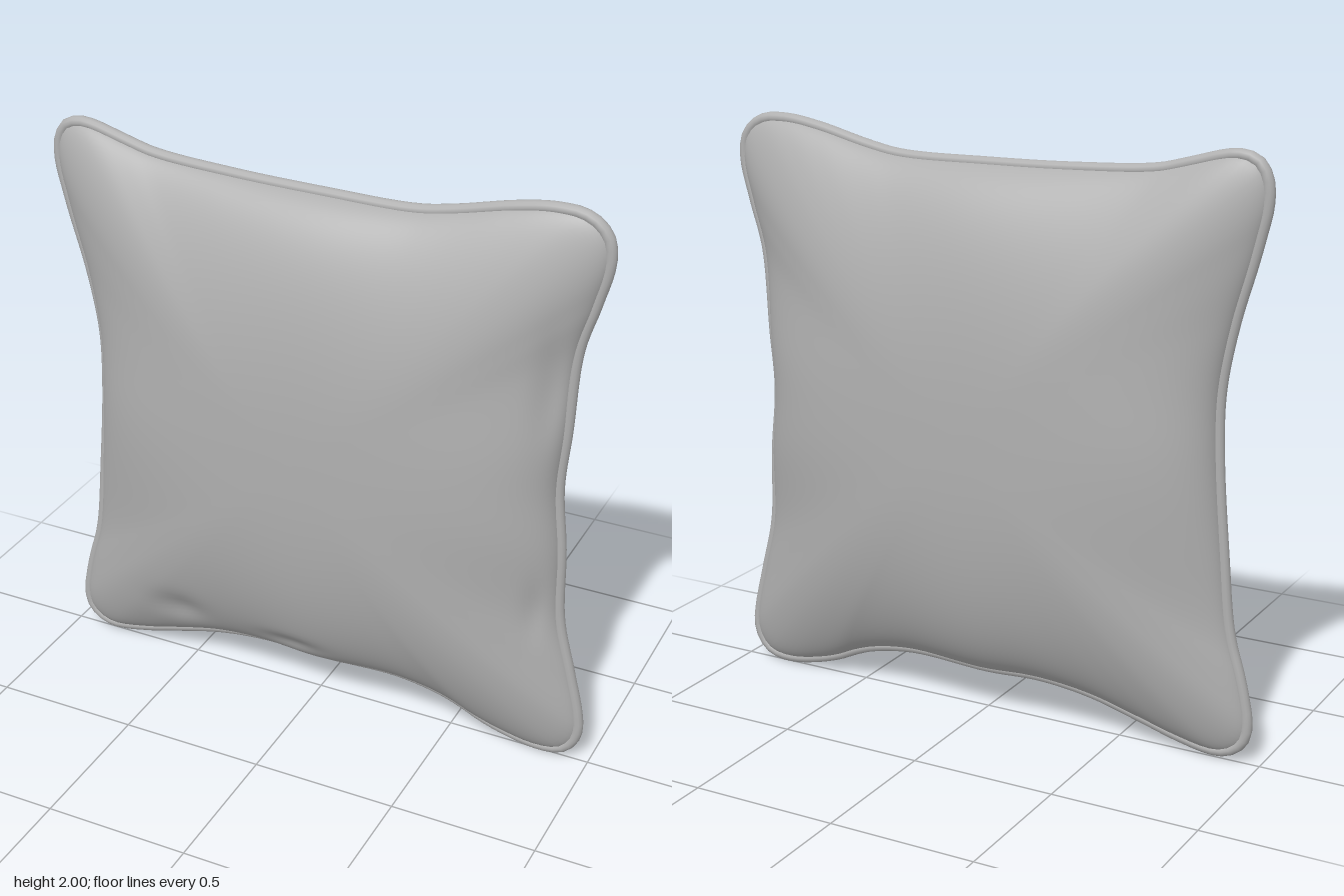
import * as THREE from 'three';

const PIPE = 0.02, HALF = 0.246, CY = 1.02;
const SEG = 240, RINGS = 40;

// outer outline of the piping, clockwise from the upper left corner
const OUTLINE = [
  [-0.865, 2.0], [-0.73, 1.972], [-0.6, 1.938], [-0.31, 1.917], [0, 1.91], [0.325, 1.912],
  [0.46, 1.936], [0.64, 1.98], [0.775, 2.0], [0.88, 1.99], [0.95, 1.936], [0.97, 1.846],
  [0.935, 1.69], [0.89, 1.53], [0.87, 1.236], [0.855, 1.034], [0.875, 0.81], [0.886, 0.546],
  [0.93, 0.36], [0.972, 0.175], [0.97, 0.095], [0.923, 0.026], [0.83, 0.003], [0.64, 0.04],
  [0.484, 0.106], [0.3, 0.14], [0, 0.13], [-0.2, 0.138], [-0.39, 0.117], [-0.57, 0.07],
  [-0.73, 0.026], [-0.865, 0.01], [-0.945, 0.053], [-0.97, 0.12], [-0.945, 0.28], [-0.9, 0.44],
  [-0.87, 0.705], [-0.843, 1.034], [-0.843, 1.236], [-0.88, 1.45], [-0.945, 1.69], [-0.978, 1.87],
  [-0.945, 1.97],
];

// small fabric folds on the front: x, y, radius x, radius y, depth
const FOLDS = [
  [-0.5, 0.26, 0.09, 0.06, 0.022], [-0.06, 0.24, 0.1, 0.035, 0.018],
  [0.81, 1.4, 0.04, 0.16, 0.02], [0.8, 0.6, 0.03, 0.1, 0.012],
];

// seam line: the outline moved inwards by the piping radius
function seamCurve() {
  const outer = new THREE.CatmullRomCurve3(
    OUTLINE.map(([x, y]) => new THREE.Vector3(x, y, 0)), true);
  const pts = [];
  for (let i = 0; i < 120; i++) {
    const p = outer.getPointAt(i / 120), t = outer.getTangentAt(i / 120);
    pts.push(new THREE.Vector3(p.x + t.y * PIPE, p.y - t.x * PIPE, 0));
  }
  return new THREE.CatmullRomCurve3(pts, true);
}

// one puffed half of the cushion, made of rings growing from the middle to the seam
function puffedSide(seam, side) {
  const pos = [0, CY, side * HALF], index = [];
  for (let i = 1; i <= RINGS; i++) {
    const s = Math.sin((i / RINGS) * Math.PI / 2);
    for (let j = 0; j < SEG; j++) {
      const bx = seam[j].x, by = seam[j].y - CY;
      const a = Math.atan2(by, bx), c = Math.cos(a), n = Math.sin(a);
      // inner rings ease from the seam shape to a soft rounded square
      const r = Math.pow(Math.abs(c / 0.83) ** 3 + Math.abs(n / 0.87) ** 3, -1 / 3);
      const w = s * s;
      const x = s * (bx * w + r * c * (1 - w));
      const y = CY + s * (by * w + r * n * (1 - w));
      const corner = 1 - 0.4 * Math.sin(2 * a) ** 2 * s ** 4;
      let z = HALF * Math.sqrt(Math.max(0, 1 - s ** 2.5)) * corner;
      if (side > 0) {
        for (const [fx, fy, rx, ry, d] of FOLDS) {
          z -= d * Math.exp(-(((x - fx) / rx) ** 2) - ((y - fy) / ry) ** 2);
        }
      }
      pos.push(x, y, side * Math.max(0, z));
    }
  }
  const at = (i, j) => 1 + (i - 1) * SEG + (j % SEG);
  const face = (a, b, c) => (side > 0 ? index.push(a, c, b) : index.push(a, b, c));
  for (let j = 0; j < SEG; j++) {
    face(0, at(1, j), at(1, j + 1));
    for (let i = 1; i < RINGS; i++) {
      face(at(i, j), at(i + 1, j), at(i + 1, j + 1));
      face(at(i, j), at(i + 1, j + 1), at(i, j + 1));
    }
  }
  const g = new THREE.BufferGeometry();
  g.setAttribute('position', new THREE.Float32BufferAttribute(pos, 3));
  g.setIndex(index);
  g.computeVertexNormals();
  return g;
}

export function createModel() {
  const group = new THREE.Group();
  group.name = 'cushion';
  const fabric = new THREE.MeshStandardMaterial({ color: 0xb0b0b0 });
  fabric.name = 'grey fabric';

  const add = (name, geometry) => {
    const mesh = new THREE.Mesh(geometry, fabric);
    mesh.name = name;
    group.add(mesh);
  };

  const curve = seamCurve();
  const seam = curve.getSpacedPoints(SEG).slice(0, SEG);
  add('frontCover', puffedSide(seam, 1));
  add('backCover', puffedSide(seam, -1));
  // round piping sewn along the seam
  add('piping', new THREE.TubeGeometry(curve, SEG, PIPE, 12, true));
  return group;
}
